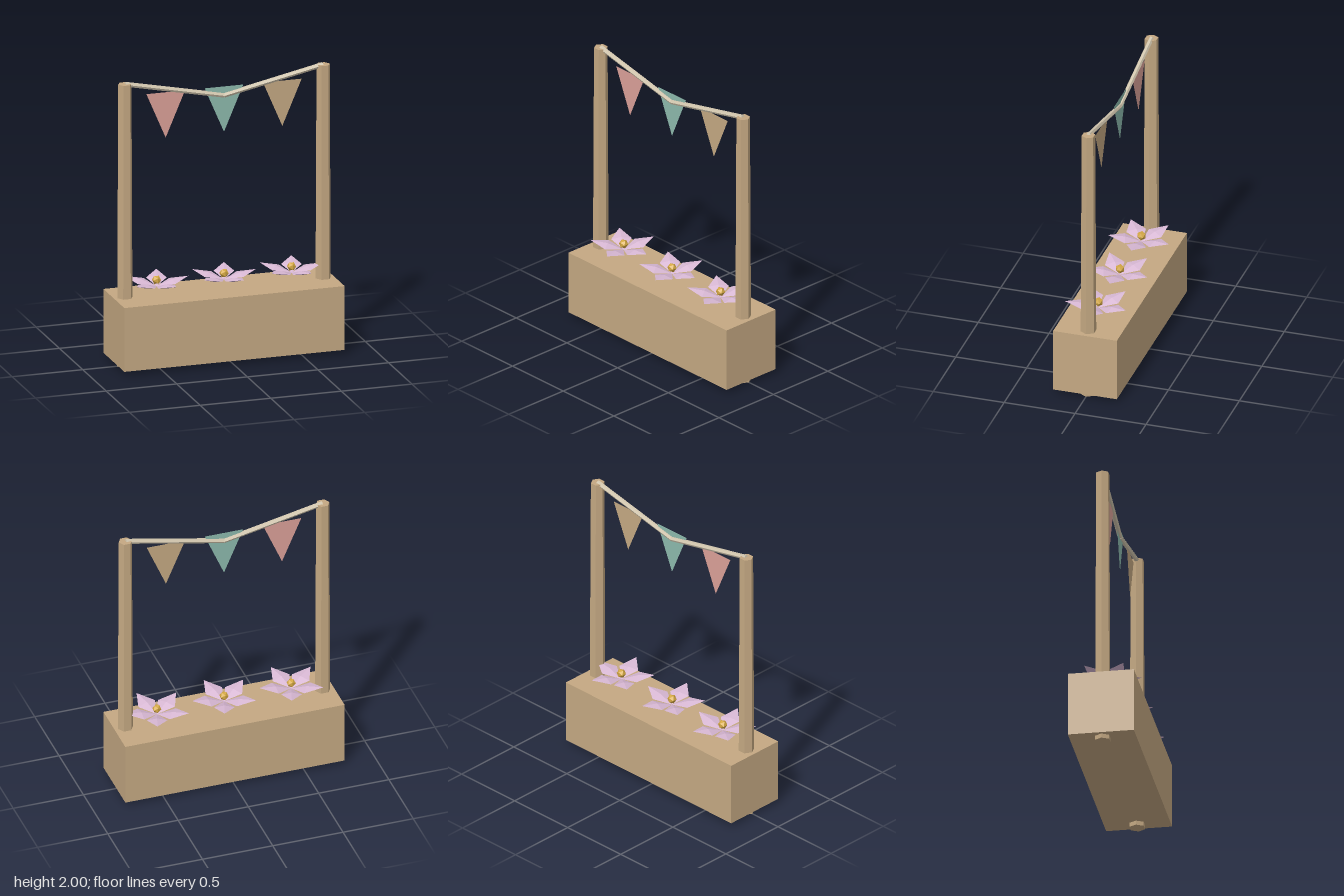
import * as THREE from 'three';

const mat = (name, color, extra = {}) => {
  const m = new THREE.MeshStandardMaterial({ color, flatShading: true, ...extra });
  m.name = name;
  return m;
};

export function createModel() {
  const model = new THREE.Group();
  model.name = 'flowerPlanter';
  const two = { side: THREE.DoubleSide };
  const wood = mat('wood', 0xc4a882);
  const rope = mat('rope', 0xd4c8b0);
  const petalPink = mat('petalLilac', 0xd8b8d4);
  const gold = mat('flowerGold', 0xd4a843);
  const flagMats = [
    mat('flagRose', 0xdba098, two),
    mat('flagTeal', 0x8cb9ac, two),
    mat('flagTan', 0xc4a882, two),
  ];

  const add = (parent, name, geometry, material, x = 0, y = 0, z = 0) => {
    const mesh = new THREE.Mesh(geometry, material);
    mesh.name = name;
    mesh.position.set(x, y, z);
    parent.add(mesh);
    return mesh;
  };

  // Planter box
  add(model, 'planterBox', new THREE.BoxGeometry(1.56, 0.45, 0.45), wood, 0, 0.255, 0);

  // Tapered hexagonal posts, corners pointing sideways
  const postGeo = new THREE.CylinderGeometry(0.047, 0.056, 1.985, 6).rotateY(Math.PI / 2);
  for (const side of [-1, 1]) {
    add(model, side < 0 ? 'rightPost' : 'leftPost', postGeo, wood, side * 0.702, 0.9925, 0);
  }

  // Sagging rope in two straight halves
  const low = new THREE.Vector3(0, 1.836, 0);
  for (const side of [-1, 1]) {
    const end = new THREE.Vector3(side * 0.7, 1.983, 0);
    const dir = end.clone().sub(low);
    const geo = new THREE.CylinderGeometry(0.017, 0.017, dir.length(), 6);
    const mid = low.clone().add(end).multiplyScalar(0.5);
    const half = add(model, side < 0 ? 'rightRope' : 'leftRope', geo, rope, mid.x, mid.y, 0);
    half.quaternion.setFromUnitVectors(new THREE.Vector3(0, 1, 0), dir.normalize());
  }

  // Triangular pennants
  const pennant = new THREE.Shape([
    new THREE.Vector2(-0.137, 1.898),
    new THREE.Vector2(0, 1.578),
    new THREE.Vector2(0.137, 1.898),
  ]);
  const pennantGeo = new THREE.ShapeGeometry(pennant);
  flagMats.forEach((m, i) => add(model, 'pennant', pennantGeo, m, (i - 1) * 0.413, 0, 0));

  // Flowers: five faceted petals rising outwards around a gold centre
  const petalGeo = new THREE.OctahedronGeometry(1)
    .scale(0.116, 0.014, 0.07)
    .rotateZ(0.22)
    .translate(0.113, 0.563, 0);
  for (const x of [-0.478, 0, 0.478]) {
    const flower = new THREE.Group();
    flower.name = 'flower';
    flower.position.x = x;
    for (let i = 0; i < 5; i++) {
      add(flower, 'petal', petalGeo, petalPink).rotation.y = (i * Math.PI * 2) / 5;
    }
    add(flower, 'flowerCentre', new THREE.IcosahedronGeometry(0.032, 0), gold, 0, 0.582, 0);
    model.add(flower);
  }
  return model;
}
